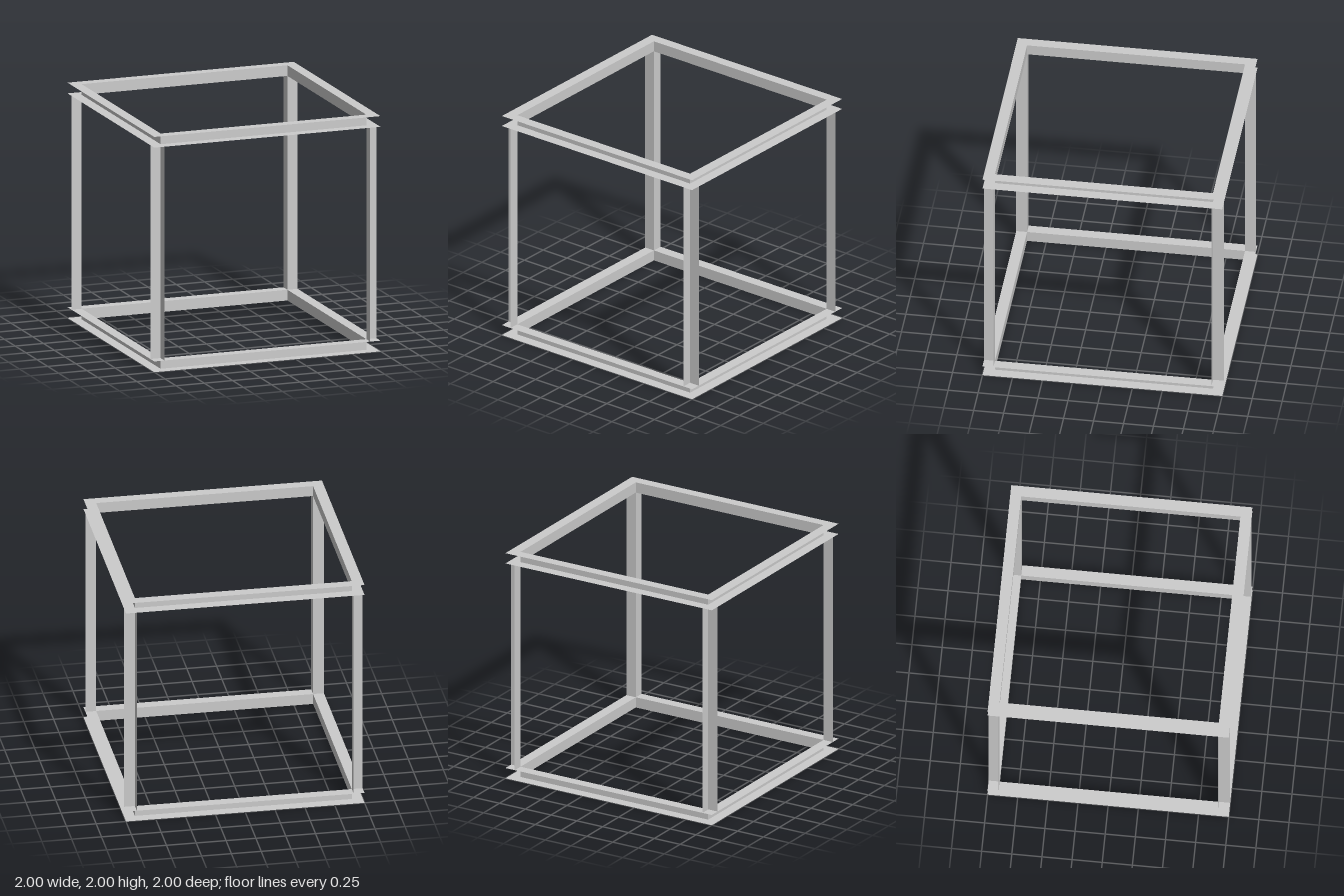
import * as THREE from 'three';

const OUT = 1;            // half size of the cube
const W = 1 / 11;         // width of the sheet strips
const IN = OUT - W;       // half size of the inner opening

const material = new THREE.MeshStandardMaterial({
  color: 0xcccccc, flatShading: true, side: THREE.DoubleSide,
});

function square(PathType, h) {
  const p = new PathType();
  p.moveTo(-h, -h);
  p.lineTo(h, -h);
  p.lineTo(h, h);
  p.lineTo(-h, h);
  p.closePath();
  return p;
}

export function createModel() {
  const model = new THREE.Group();
  model.name = 'openCubeFrame';

  function add(parent, name, geometry) {
    const mesh = new THREE.Mesh(geometry, material);
    mesh.name = name;
    parent.add(mesh);
    return mesh;
  }

  // Flat square ring shared by all flanges
  const ring = square(THREE.Shape, OUT);
  ring.holes.push(square(THREE.Path, IN));
  const ringGeometry = new THREE.ShapeGeometry(ring).rotateX(-Math.PI / 2);

  // Lower and upper rims: two flanges joined by an inner web, open outward
  for (const [name, y] of [['lowerRim', 0], ['upperRim', 2 - W]]) {
    const rim = new THREE.Group();
    rim.name = name;
    rim.position.y = y;
    add(rim, 'bottomFlange', ringGeometry);
    add(rim, 'topFlange', ringGeometry).position.y = W;
    for (let i = 0; i < 4; i++) {
      const web = new THREE.PlaneGeometry(2 * IN, W)
        .translate(0, W / 2, IN).rotateY(i * Math.PI / 2);
      add(rim, 'innerWeb', web);
    }
    model.add(rim);
  }

  // Corner posts: angle sections whose ridge points to the centre
  const height = 2 - 2 * W;
  const mid = IN + W / 2;
  for (let i = 0; i < 4; i++) {
    const post = new THREE.Group();
    post.name = 'cornerPost';
    post.rotation.y = i * Math.PI / 2;
    add(post, 'postLeafAcross', new THREE.PlaneGeometry(W, height).translate(mid, 1, IN));
    add(post, 'postLeafAlong',
      new THREE.PlaneGeometry(W, height).rotateY(Math.PI / 2).translate(IN, 1, mid));
    model.add(post);
  }

  return model;
}
